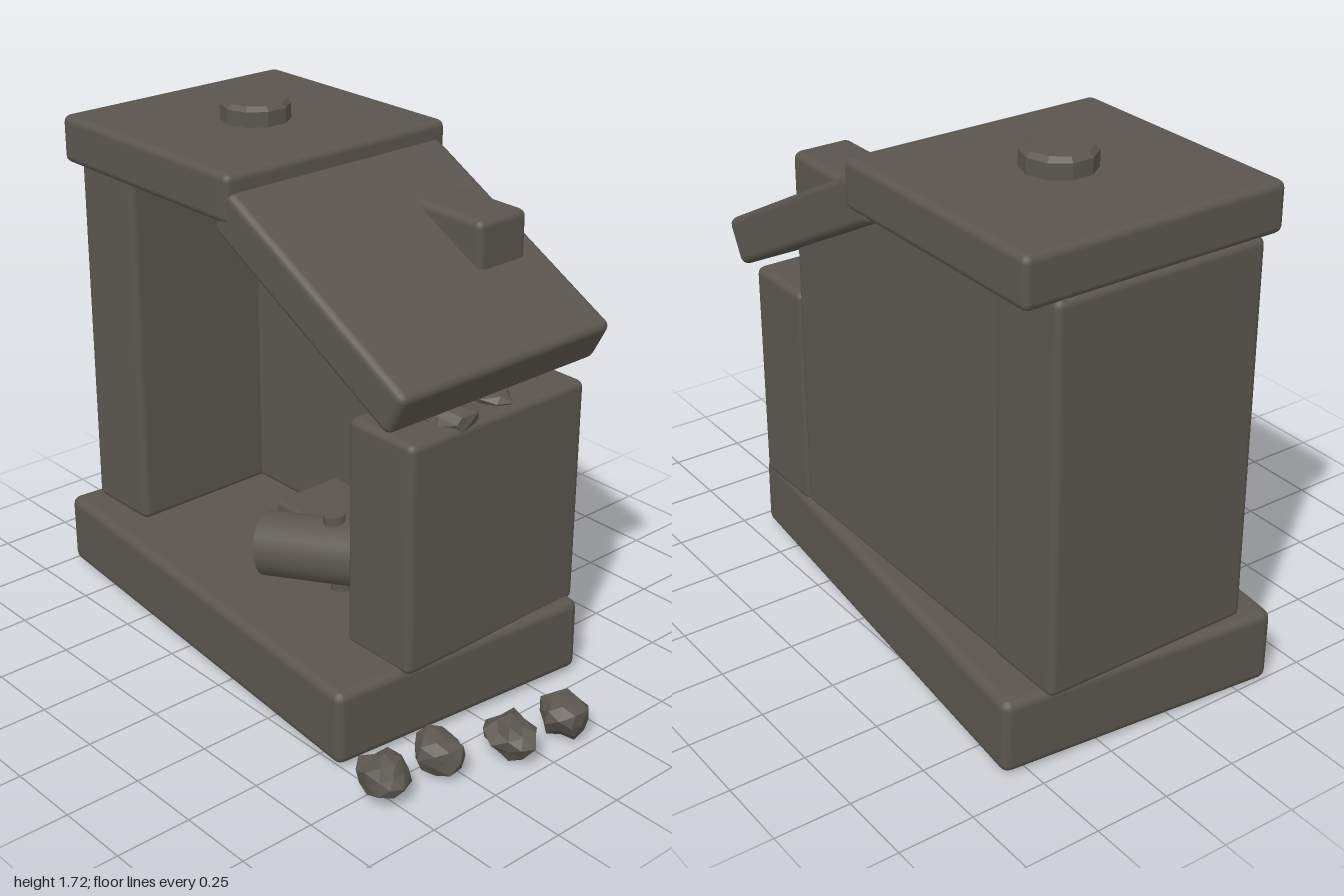
import * as THREE from 'three';
import { RoundedBoxGeometry } from 'three/addons/geometries/RoundedBoxGeometry.js';

export function createModel() {
  const model = new THREE.Group();
  const stone = new THREE.MeshStandardMaterial({ name: 'darkStone', color: 0x5a564e });
  const facetedStone = stone.clone();
  facetedStone.flatShading = true;

  const add = (name, geometry, x, y, z, parent = model, material = stone) => {
    const mesh = new THREE.Mesh(geometry, material);
    mesh.name = name;
    mesh.position.set(x, y, z);
    parent.add(mesh);
    return mesh;
  };

  // Block with softened edges, given by its extents
  const block = (name, x0, x1, y0, y1, z0, z1, r = 0.025) =>
    add(name, new RoundedBoxGeometry(x1 - x0, y1 - y0, z1 - z0, 2, r),
      (x0 + x1) / 2, (y0 + y1) / 2, (z0 + z1) / 2);

  // Plinth, set slightly askew
  const base = add('base', new RoundedBoxGeometry(1.62, 0.25, 0.955, 2, 0.03), -0.155, 0.138, -0.03);
  base.rotation.set(0.005, -0.093, 0.007);

  // Walls
  block('tallWall', -0.96, -0.68, 0.25, 1.51, -0.45, 0.28);
  block('lowWall', 0.37, 0.65, 0.25, 1.02, -0.45, 0.28);
  block('backWall', -0.9, 0.385, 0.25, 1.505, -0.445, -0.24);

  // Roof: a flat slab and a fallen slab
  block('flatRoof', -0.955, -0.09, 1.5, 1.66, -0.553, 0.348);
  const slope = add('slopedRoof', new RoundedBoxGeometry(0.885, 0.155, 0.87, 2, 0.025), 0.252, 1.333, -0.092);
  slope.rotation.z = -0.49;

  // Bevelled cap on the flat roof
  const capProfile = [[0, 0], [0.115, 0], [0.115, 0.06], [0.1, 0.075], [0, 0.075]]
    .map(([r, y]) => new THREE.Vector2(r, y));
  add('roofCap', new THREE.LatheGeometry(capProfile, 10), -0.505, 1.65, -0.1, model, facetedStone);

  // Round frame on the back wall
  add('wallRing', new THREE.TorusGeometry(0.175, 0.024, 6, 20), -0.155, 1.09, -0.238);

  // Box on the floor against the back wall
  block('floorBox', -0.285, -0.02, 0.24, 0.4, -0.27, 0.02, 0.015);

  // Toppled canister, its axis running along local y
  const canister = new THREE.Group();
  canister.name = 'canister';
  const start = new THREE.Vector3(-0.105, 0.375, 0.2);
  const end = new THREE.Vector3(0.22, 0.415, 0.06);
  const length = start.distanceTo(end);
  canister.position.copy(start);
  canister.quaternion.setFromUnitVectors(
    new THREE.Vector3(0, 1, 0), end.clone().sub(start).normalize());
  model.add(canister);
  add('canisterBody', new THREE.CylinderGeometry(0.107, 0.107, length, 24), 0, length / 2, 0, canister);
  const neckProfile = [[0.07, -0.02], [0.07, 0.03], [0.1, 0.065], [0.095, 0.12], [0.06, 0.15], [0, 0.155]]
    .map(([r, y]) => new THREE.Vector2(r, y));
  add('canisterNeck', new THREE.LatheGeometry(neckProfile, 10), 0, length, 0, canister, facetedStone);

  // Studs above and below the canister
  for (const [x, y, z] of [[0.115, 0.51, 0.105], [0.145, 0.3, 0.1]]) {
    const stud = add('canisterStud', new THREE.CylinderGeometry(0.036, 0.036, 0.045, 10), x, y, z);
    stud.rotation.z = 0.12;
  }

  // Jagged rock: each corner is pushed in or out by a repeatable amount
  const rock = (name, x, y, z, sx, sy, sz, seed) => {
    const geometry = new THREE.IcosahedronGeometry(1, 1);
    const p = geometry.attributes.position;
    const v = new THREE.Vector3();
    for (let i = 0; i < p.count; i++) {
      v.fromBufferAttribute(p, i);
      const key = Math.round(v.x * 50) * 12.99 + Math.round(v.y * 50) * 78.23 + Math.round(v.z * 50) * 37.72;
      const n = Math.sin(key + seed * 5.17) * 43758.5;
      v.multiplyScalar(0.74 + 0.3 * (n - Math.floor(n)));
      p.setXYZ(i, v.x * sx, v.y * sy, v.z * sz);
    }
    geometry.computeVertexNormals();
    add(name, geometry, x, y, z, model, facetedStone);
  };

  // Rubble on the ground
  const rubble = [[0.915, -0.13, 0.088], [0.885, 0.07, 0.105], [0.8, 0.29, 0.092], [0.785, 0.5, 0.1]];
  rubble.forEach(([x, z, sx], i) => rock('rubble', x, 0.078, z, sx, 0.078, 0.085, i + 1));

  // Crushed rubble between the low wall and the fallen slab
  rock('crushedRubble', 0.515, 1.03, 0.05, 0.165, 0.046, 0.095, 7);
  rock('crushedRubble', 0.5, 1.025, -0.15, 0.13, 0.04, 0.09, 9);

  return model;
}
